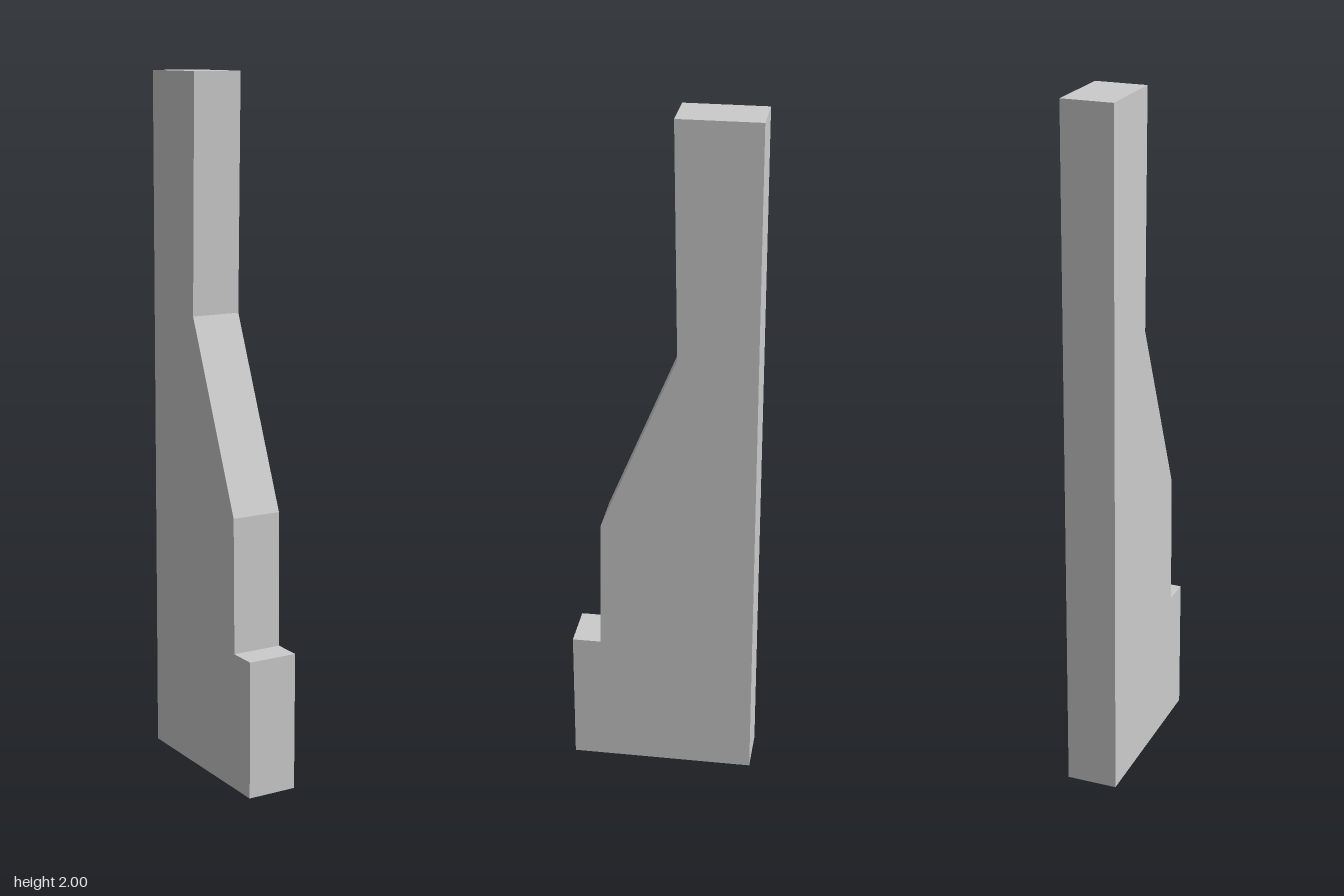
import * as THREE from 'three';

const WIDTH = 0.148;

// Side outline as [z, y], from the back foot round to the back top
const OUTLINE = [
  [-0.267, 0], [0.267, 0],         // base
  [0.267, 0.4], [0.183, 0.4],      // toe step
  [0.178, 0.79], [-0.043, 1.325],  // lower front and slope
  [-0.033, 2], [-0.267, 2],        // upper front and top
];

export function createModel() {
  const group = new THREE.Group();
  group.name = 'steppedPost';

  const shape = new THREE.Shape(OUTLINE.map(([z, y]) => new THREE.Vector2(z, y)));
  const geometry = new THREE.ExtrudeGeometry(shape, { depth: WIDTH, bevelEnabled: false });
  // Centre the thickness, then turn the outline to face +z
  geometry.translate(0, 0, -WIDTH / 2);
  geometry.rotateY(-Math.PI / 2);

  const post = new THREE.Mesh(
    geometry,
    new THREE.MeshStandardMaterial({ color: 0xcccccc, flatShading: true })
  );
  post.name = 'post';
  group.add(post);
  return group;
}
